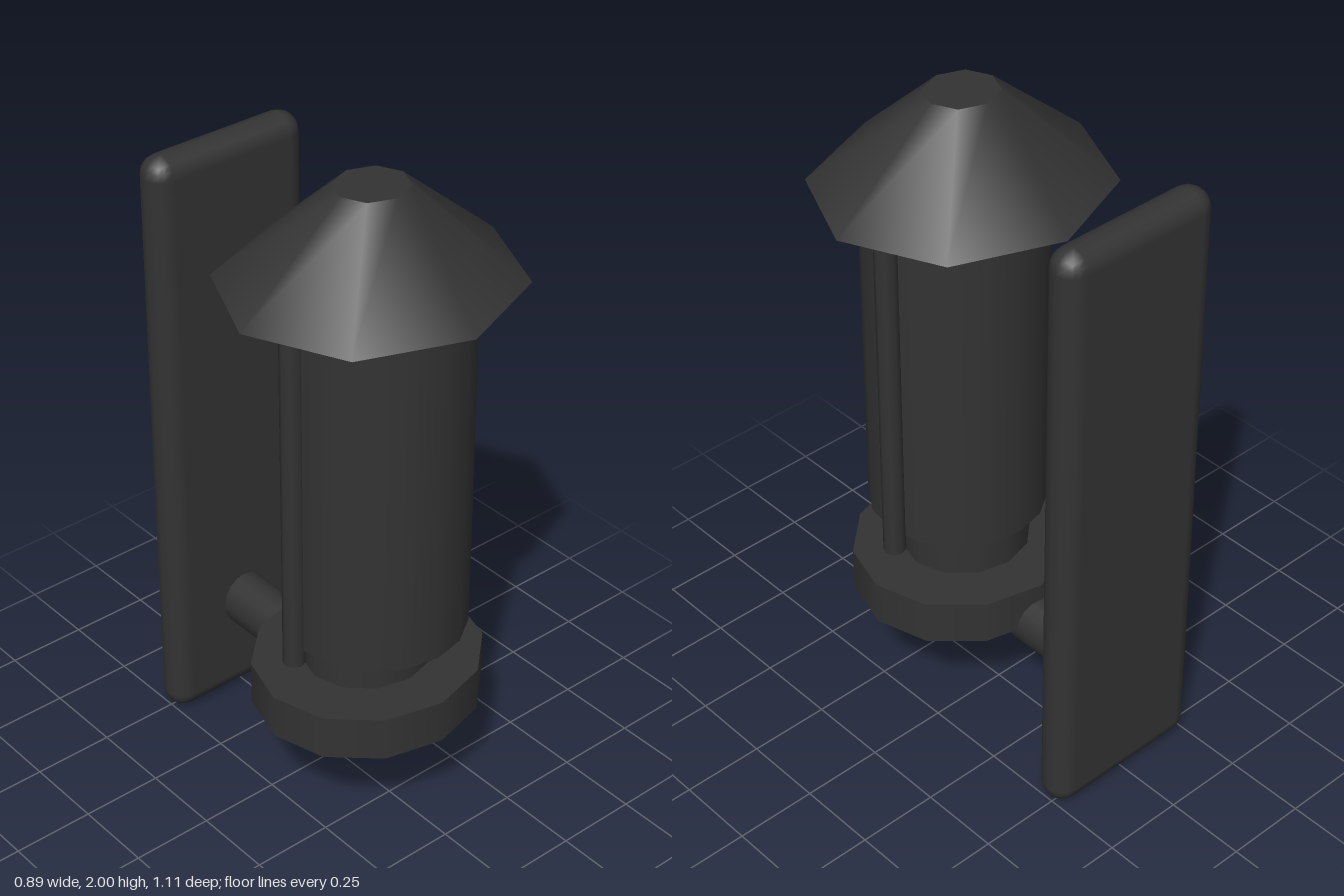
import * as THREE from 'three';
import { RoundedBoxGeometry } from 'three/addons/geometries/RoundedBoxGeometry.js';

const AXIS_Z = 0.145; // lantern axis
const SQUASH = 0.927; // lantern is slightly shallower than wide

export function createModel() {
  const group = new THREE.Group();
  const metal = new THREE.MeshStandardMaterial({ color: 0x333333 });
  metal.name = 'dark metal';
  const cream = new THREE.MeshStandardMaterial({ color: 0xe8e0d0 });
  cream.name = 'cream lamp';

  const add = (name, geometry, material, x, y, z) => {
    const mesh = new THREE.Mesh(geometry, material);
    mesh.name = name;
    mesh.position.set(x, y, z);
    group.add(mesh);
    return mesh;
  };

  // Upright round part between two heights
  const drum = (name, rTop, rBottom, y0, y1, sides, material = metal, x = 0, z = AXIS_Z, squash = SQUASH) => {
    const g = new THREE.CylinderGeometry(rTop, rBottom, y1 - y0, sides);
    g.scale(1, 1, squash);
    return add(name, g, material, x, (y0 + y1) / 2, z);
  };

  // Wall plate with rounded edges
  add('wallPlate', new RoundedBoxGeometry(0.53, 1.905, 0.12, 2, 0.06), metal, 0, 0.9525, -0.495);

  // Arm from the plate to the underside of the base
  const arm = new THREE.CylinderGeometry(0.077, 0.077, 0.6, 16);
  arm.rotateX(Math.PI / 2);
  arm.scale(1, 1.13, 1);
  add('arm', arm, metal, 0, 0.338, -0.155);

  // Lantern body
  drum('base', 0.353, 0.353, 0.34, 0.48, 12);
  drum('lampHolder', 0.2, 0.2, 0.48, 0.6, 12);
  drum('lamp', 0.107, 0.107, 0.58, 1.2, 12, cream);
  drum('shade', 0.267, 0.267, 0.625, 1.67, 16, metal, 0, 0.18, 1);
  drum('roof', 0.11, 0.443, 1.72, 2.0, 8);

  // Side rods carrying the roof
  for (const side of [-1, 1]) {
    drum(side > 0 ? 'leftRod' : 'rightRod', 0.034, 0.034, 0.575, 1.73, 8, metal, side * 0.277, 0.147, 0.97);
  }
  return group;
}
